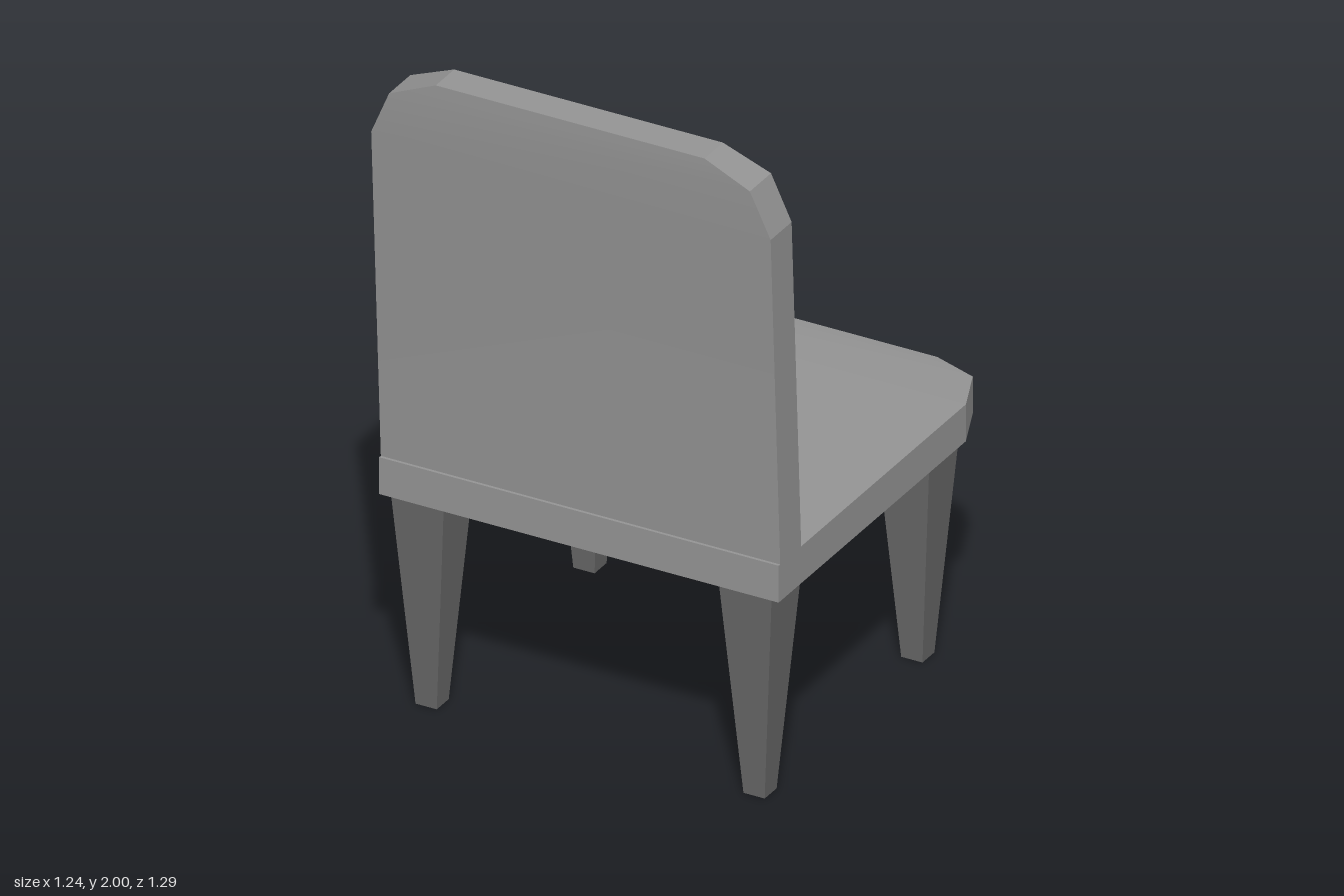
import * as THREE from 'three';
import { toCreasedNormals } from 'three/addons/utils/BufferGeometryUtils.js';

const upholstery = new THREE.MeshStandardMaterial({ color: 0x949494 });
const legFinish = new THREE.MeshStandardMaterial({ color: 0x686868, flatShading: true });

// Slab from rows along its length: [position, half width, lower face, upper face]
function slab(rows) {
  const last = rows.length - 1;
  const geometry = new THREE.BoxGeometry(2, 1, 1, 1, last, 1);
  const p = geometry.attributes.position;
  for (let i = 0; i < p.count; i++) {
    const [y, halfWidth, low, high] = rows[Math.round((p.getY(i) + 0.5) * last)];
    p.setXYZ(i, Math.sign(p.getX(i)) * halfWidth, y, p.getZ(i) > 0 ? high : low);
  }
  return toCreasedNormals(geometry, 0.3);
}

function addMesh(group, name, geometry, material) {
  const mesh = new THREE.Mesh(geometry, material);
  mesh.name = name;
  group.add(mesh);
  return mesh;
}

export function createModel() {
  const group = new THREE.Group();
  group.name = 'chair';

  // Seat with chamfered corners towards -z, slightly thinner at its far edge
  const seat = slab([
    [-0.595, 0.62, 0.657, 0.771],
    [0.44, 0.62, 0.657, 0.771],
    [0.585, 0.56, 0.657, 0.771],
    [0.643, 0.417, 0.664, 0.765],
  ]).rotateX(-Math.PI / 2);
  addMesh(group, 'seat', seat, upholstery);

  // Backrest with chamfered top corners, leaning outwards and thinner at its crest
  const backrest = slab([
    [0.771, 0.62, 0.47, 0.586],
    [1.8, 0.62, 0.523, 0.639],
    [1.938, 0.56, 0.53, 0.647],
    [2, 0.417, 0.542, 0.644],
  ]);
  addMesh(group, 'backrest', backrest, upholstery);

  // Four square tapered legs
  const legHeight = 0.66;
  const legGeometry = new THREE.CylinderGeometry(0.082 * Math.SQRT2, 0.033 * Math.SQRT2, legHeight, 4)
    .rotateY(Math.PI / 4);
  for (const [sideName, x] of [['left', 0.509], ['right', -0.509]]) {
    for (const [endName, z] of [['BackrestLeg', 0.5], ['SeatEdgeLeg', -0.372]]) {
      addMesh(group, sideName + endName, legGeometry, legFinish).position.set(x, legHeight / 2, z);
    }
  }
  return group;
}
